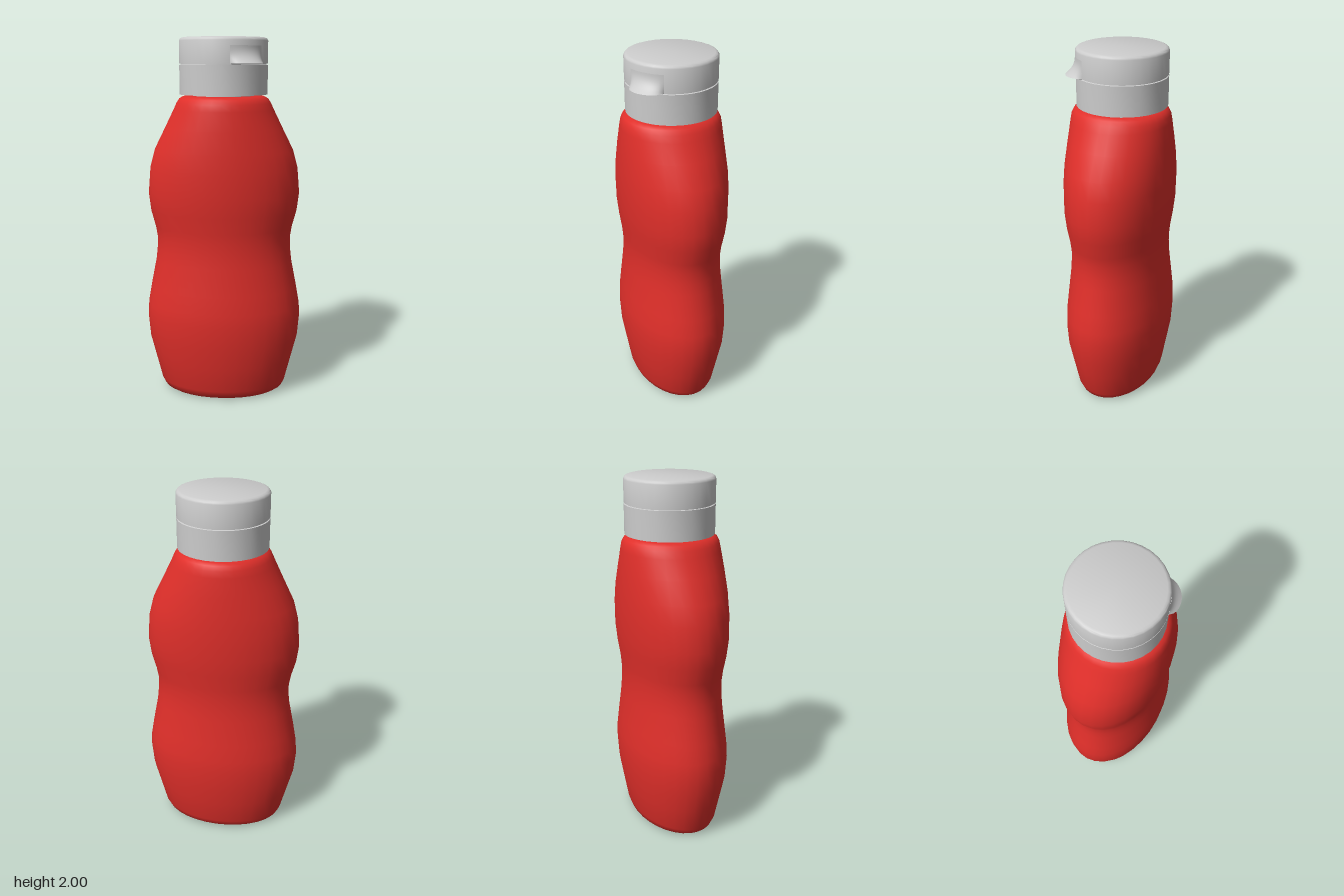
import * as THREE from 'three';
import { toCreasedNormals } from 'three/addons/utils/BufferGeometryUtils.js';

const SIDES = 32;
const CAP_RADIUS = 0.24;
const red = new THREE.MeshStandardMaterial({ color: 0xe02f2a });
const grey = new THREE.MeshStandardMaterial({ color: 0xcccccc });
const greyThin = new THREE.MeshStandardMaterial({ color: 0xcccccc, side: THREE.DoubleSide });

function addMesh(group, name, geometry, material, crease) {
  const mesh = new THREE.Mesh(toCreasedNormals(geometry, crease), material);
  mesh.name = name;
  group.add(mesh);
  return mesh;
}

function turned(points) {
  return new THREE.LatheGeometry(points.map(([r, y]) => new THREE.Vector2(r, y)), SIDES);
}

// Oval body: each ring is [height, half width, half depth]
function bodyGeometry() {
  const rings = [
    [0, 0, 0], [0, 0.29, 0.175], [0.005, 0.32, 0.205], [0.02, 0.344, 0.222], [0.055, 0.362, 0.235],
    [0.2, 0.398, 0.259], [0.32, 0.428, 0.278], [0.45, 0.439, 0.285], [0.52, 0.434, 0.283],
    [0.62, 0.416, 0.273], [0.77, 0.386, 0.258], [0.84, 0.378, 0.254], [0.91, 0.376, 0.254],
    [0.97, 0.386, 0.258], [1.06, 0.41, 0.27], [1.16, 0.422, 0.28], [1.3, 0.41, 0.284],
    [1.4, 0.383, 0.282], [1.52, 0.323, 0.276], [1.62, 0.274, 0.267], [1.655, 0.258, 0.262],
    [1.678, 0.243, 0.25], [1.69, 0.222, 0.232], [1.693, 0.19, 0.2], [1.693, 0, 0],
  ];
  const geometry = turned(rings.map(([y, w]) => [w, y]));
  const position = geometry.attributes.position;
  for (let i = 0; i < position.count; i++) {
    const [, w, d] = rings[i % rings.length];
    if (w > 0) position.setZ(i, position.getZ(i) * d / w);
  }
  return geometry;
}

// Thumb lip: a curved patch that flares from the lid wall to a thin edge
function thumbLipGeometry() {
  const cols = 16, rows = 8, middle = 0.97, halfAngle = 0.41;
  const positions = [], indices = [];
  for (let j = 0; j <= rows + 1; j++) {
    const t = Math.min(j / rows, 1);
    for (let i = 0; i <= cols; i++) {
      const u = (i / cols) * 2 - 1;
      const a = middle + u * halfAngle;
      const flare = 0.052 * Math.pow(1 - u * u, 0.65) * Math.pow(t, 2.5);
      // the last row turns back under the lid
      const r = j > rows ? CAP_RADIUS - 0.02 : CAP_RADIUS + 0.001 + flare;
      const y = j > rows ? 1.858 : 1.955 - 0.09 * t;
      positions.push(r * Math.cos(a), y, r * Math.sin(a));
      if (i < cols && j <= rows) {
        const p = j * (cols + 1) + i, q = p + cols + 1;
        indices.push(p, p + 1, q, p + 1, q + 1, q);
      }
    }
  }
  const geometry = new THREE.BufferGeometry();
  geometry.setAttribute('position', new THREE.Float32BufferAttribute(positions, 3));
  geometry.setIndex(indices);
  return geometry;
}

export function createModel() {
  const model = new THREE.Group();
  model.name = 'squeezeBottle';
  addMesh(model, 'body', bodyGeometry(), red, 1.2);

  const cap = new THREE.Group();
  cap.name = 'cap';
  cap.position.set(-0.001, 0, -0.005);
  model.add(cap);

  // Neck filling the gap between body and collar
  const neck = new THREE.CylinderGeometry(0.17, 0.17, 0.03, SIDES);
  addMesh(cap, 'neck', neck, grey, 0.6).position.y = 1.695;

  // Collar, with a recessed step forming the seam under the lid
  const R = CAP_RADIUS;
  addMesh(cap, 'collar', turned([
    [0, 1.7], [R, 1.7], [R, 1.856], [R - 0.008, 1.858], [R - 0.008, 1.866], [0, 1.866],
  ]), grey, 0.6);

  // Flip lid with a softly rounded rim
  addMesh(cap, 'lid', turned([
    [0, 1.863], [R, 1.863], [R, 1.982], [R - 0.003, 1.99], [R - 0.009, 1.996],
    [R - 0.02, 2], [0, 2],
  ]), grey, 0.7);

  addMesh(cap, 'thumbLip', thumbLipGeometry(), greyThin, 0.7);
  return model;
}
